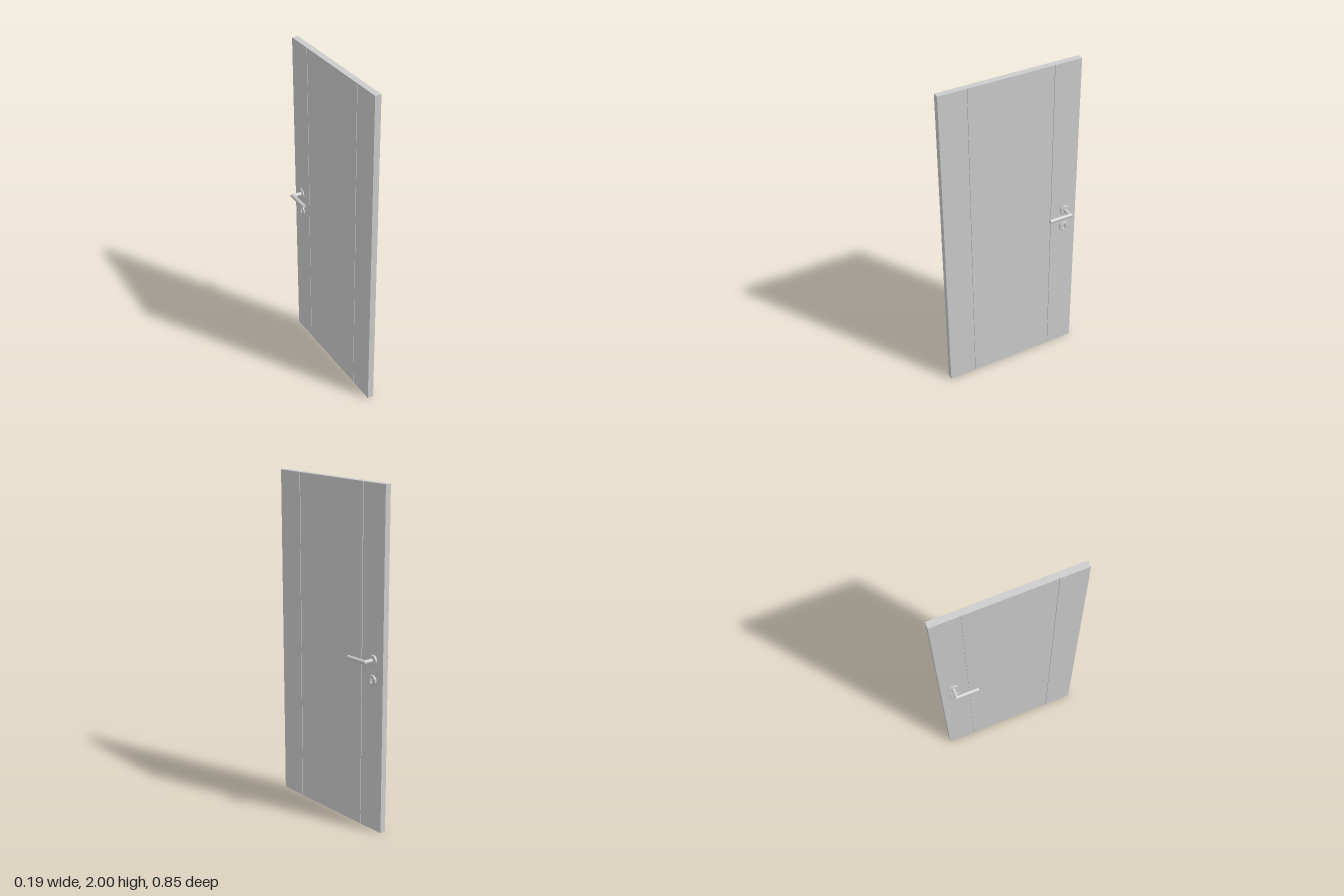
import * as THREE from 'three';

const material = new THREE.MeshStandardMaterial({ color: 0xcccccc, side: THREE.DoubleSide });

function addPart(parent, name, geometry) {
  const mesh = new THREE.Mesh(geometry, material);
  mesh.name = name;
  parent.add(mesh);
  return mesh;
}

// Door leaf: plan outline with narrow vertical grooves, raised to full height
function doorLeaf() {
  const x0 = -0.023, x1 = 0.014, half = 0.427, seam = 0.26, w = 0.002, depth = 0.005;
  const shape = new THREE.Shape();
  shape.moveTo(x0, -half);
  shape.lineTo(x1, -half);
  for (const s of [-seam, seam]) {
    shape.lineTo(x1, s - w);
    shape.lineTo(x1 - depth, s - w);
    shape.lineTo(x1 - depth, s + w);
    shape.lineTo(x1, s + w);
  }
  shape.lineTo(x1, half);
  shape.lineTo(x0, half);
  for (const s of [seam, -seam]) {
    shape.lineTo(x0, s + w);
    shape.lineTo(x0 + depth, s + w);
    shape.lineTo(x0 + depth, s - w);
    shape.lineTo(x0, s - w);
  }
  shape.closePath();
  return new THREE.ExtrudeGeometry(shape, { depth: 2, bevelEnabled: false }).rotateX(-Math.PI / 2);
}

// Round plate with a softened outer edge, facing +x, from x = 0.018 to 0.029
function rosePlate(radius, hole) {
  const bevel = 0.003;
  const shape = new THREE.Shape().absarc(0, 0, radius - bevel, 0, Math.PI * 2);
  if (hole) shape.holes.push(hole);
  return new THREE.ExtrudeGeometry(shape, {
    depth: 0.008, curveSegments: 32, bevelThickness: bevel, bevelSize: bevel, bevelSegments: 2,
  }).translate(0, 0, 0.018).rotateY(Math.PI / 2);
}

// Rounded upright slot, allowing for the bevel that narrows it
function keySlot() {
  const r = 0.010, h = 0.009;
  const slot = new THREE.Path();
  slot.absarc(0, h, r, 0, Math.PI);
  slot.absarc(0, -h, r, Math.PI, Math.PI * 2);
  slot.closePath();
  return slot;
}

// Rod along y whose top end is cut at 45 degrees towards its own +z
function mitredRod(radius, length) {
  const rod = new THREE.CylinderGeometry(radius, radius, length, 24).translate(0, -length / 2, 0);
  const p = rod.attributes.position;
  for (let i = 0; i < p.count; i++) {
    if (p.getY(i) > -1e-6) p.setY(i, -p.getZ(i));
  }
  rod.computeVertexNormals();
  return rod;
}

export function createModel() {
  const door = new THREE.Group();
  door.name = 'door';
  addPart(door, 'doorLeaf', doorLeaf());

  // The same hardware on both faces, turned half round about z
  for (const [side, turn] of [['left', 0], ['right', Math.PI]]) {
    const handle = new THREE.Group();
    handle.name = side + 'Handle';
    handle.position.set(-0.001, 1.029, -0.352);
    handle.rotation.z = turn;
    door.add(handle);
    addPart(handle, 'handleRose', rosePlate(0.031));

    const r = 0.012, reach = 0.081;
    // Neck runs out along x and meets the lever at the mitre
    const neck = mitredRod(r, reach - 0.02).rotateZ(-Math.PI / 2).translate(reach, 0, 0);
    addPart(handle, 'handleNeck', neck);
    // Lever runs along +z from the same mitre
    const lever = mitredRod(r, 0.135).rotateY(-Math.PI / 2).rotateX(-Math.PI / 2).translate(reach, 0, 0);
    addPart(handle, 'handleLever', lever);

    const lock = addPart(door, side + 'KeyholePlate', rosePlate(0.031, keySlot()));
    lock.position.set(-0.001, 0.912, -0.349);
    lock.rotation.z = turn;
  }
  return door;
}
